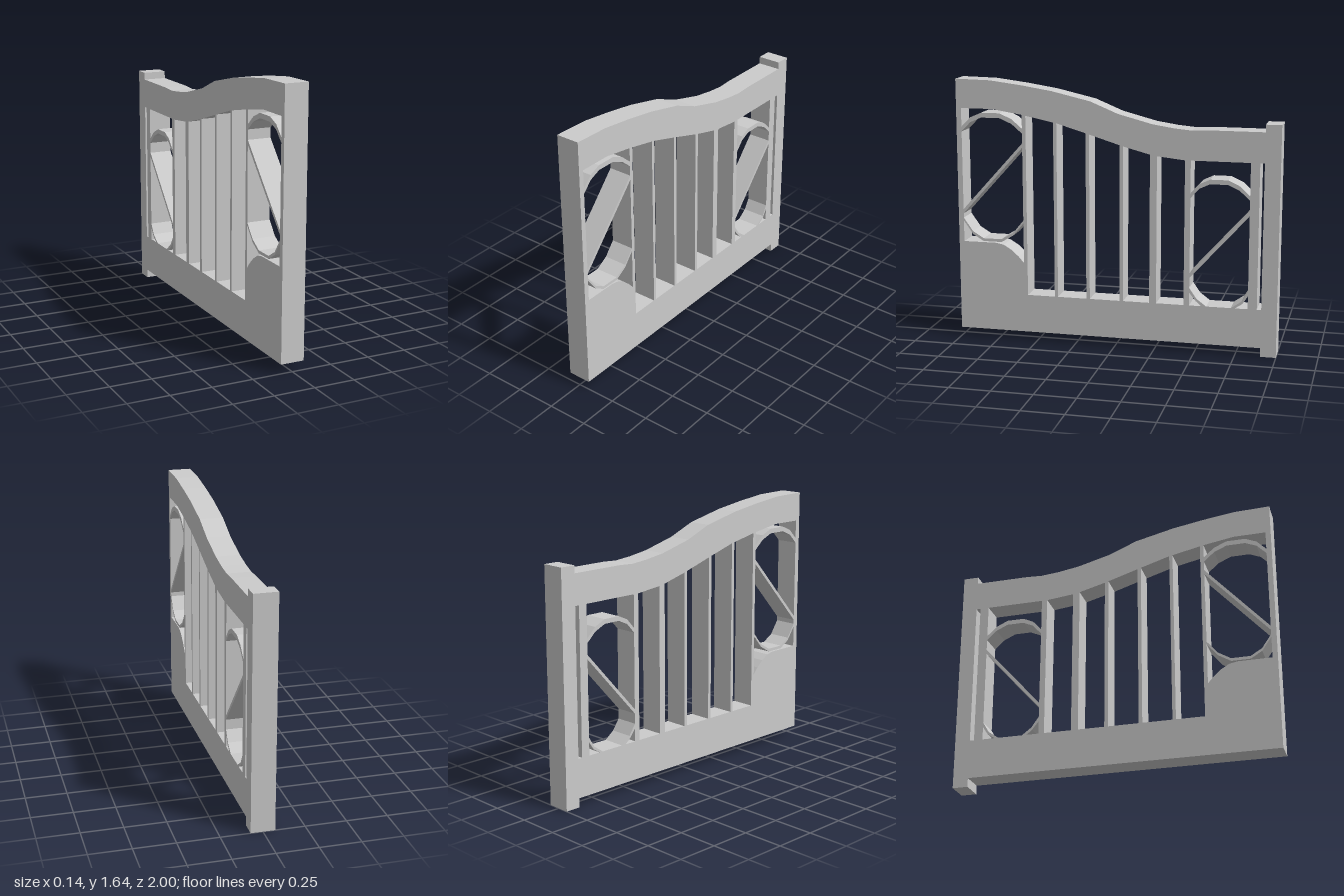
import * as THREE from 'three';

const DEPTH = 0.145;
const material = new THREE.MeshStandardMaterial({ color: 0xcccccc, flatShading: true });

// Underside of the swept top rail, as [u, y] where u runs from front (-1) to back (+1)
const railUnder = [[-1, 1.46], [-0.77, 1.46], [-0.58, 1.43], [-0.36, 1.385], [-0.16, 1.325],
  [0.05, 1.26], [0.24, 1.21], [0.43, 1.19], [0.905, 1.19]];
const railOver = [[-1, 1.64], [-0.78, 1.635], [-0.58, 1.61], [-0.39, 1.58], [-0.15, 1.525],
  [0.02, 1.455], [0.23, 1.4], [0.36, 1.38], [0.47, 1.37], [0.57, 1.375], [0.905, 1.375]];

// Height of the rail's underside at u
function underY(u) {
  const i = Math.max(1, railUnder.findIndex((p) => p[0] >= u));
  const [a, b] = [railUnder[i - 1], railUnder[i]];
  return a[1] + (b[1] - a[1]) * (u - a[0]) / (b[0] - a[0]);
}

export function createModel() {
  const gate = new THREE.Group();
  gate.name = 'gate';

  // Extrude a side outline across the gate's thickness
  function plate(name, points) {
    const shape = new THREE.Shape(points.map(([u, y]) => new THREE.Vector2(u, y)));
    const geometry = new THREE.ExtrudeGeometry(shape, { depth: DEPTH, bevelEnabled: false });
    geometry.translate(0, 0, -DEPTH / 2).rotateY(Math.PI / 2);
    const mesh = new THREE.Mesh(geometry, material);
    mesh.name = name;
    gate.add(mesh);
  }
  const rect = (name, u0, u1, y0, y1) => plate(name, [[u0, y0], [u1, y0], [u1, y1], [u0, y1]]);

  // Strip of constant vertical thickness hanging below a path
  const strip = (name, path, t) =>
    plate(name, [...path, ...path.map(([u, y]) => [u, y - t]).reverse()]);

  // Rails and hinge post
  plate('topRail', [...railUnder, ...[...railOver].reverse()]);
  rect('bottomRail', -1, 0.905, 0.055, 0.295);
  rect('hingePost', 0.905, 1, 0, 1.42);

  // Solid lower panel with a rounded shoulder
  plate('lowerPanel', [[-1, 0.295], [-0.58, 0.295], [-0.58, 0.5], [-0.615, 0.54], [-0.66, 0.58],
    [-0.71, 0.61], [-0.76, 0.62], [-1, 0.62]]);
  rect('endStile', -1, -0.968, 0.62, 1.46);

  // Upright bars, cut to the slope of the rail
  const bars = [[-0.58, -0.557], [-0.383, -0.362], [-0.18, -0.158], [0.03, 0.053],
    [0.217, 0.26], [0.43, 0.465], [0.823, 0.878]];
  for (const [a, b] of bars) {
    plate('uprightBar', [[a, 0.295], [b, 0.295], [b, underY(b)], [a, underY(a)]]);
  }

  // Faceted arches and diagonal braces in the end bays
  const arch = (u0, u1, y, dir) => [[0, -0.09], [0.15, -0.03], [0.33, 0], [0.63, 0],
    [0.83, -0.033], [1, -0.09]].map(([f, d]) => [u0 + (u1 - u0) * f, y + d * dir]);
  strip('frontArchTop', arch(-0.968, -0.58, 1.435, 1), 0.03);
  strip('frontArchBottom', arch(-0.968, -0.58, 0.645, -1.4), 0.018);
  strip('frontBrace', [[-0.968, 0.825], [-0.58, 1.255]], 0.027);
  strip('backArchTop', arch(0.465, 0.823, 1.08, 1), 0.028);
  strip('backBrace', [[0.465, 0.495], [0.823, 0.895]], 0.027);

  // Lower arch of the back bay, running into the bottom rail
  plate('backArchFoot', [[0.465, 0.405], [0.51, 0.34], [0.57, 0.295], [0.54, 0.295],
    [0.505, 0.325], [0.465, 0.375]]);
  plate('backArchFoot', [[0.823, 0.405], [0.785, 0.34], [0.72, 0.295], [0.745, 0.295],
    [0.79, 0.325], [0.823, 0.375]]);

  return gate;
}
